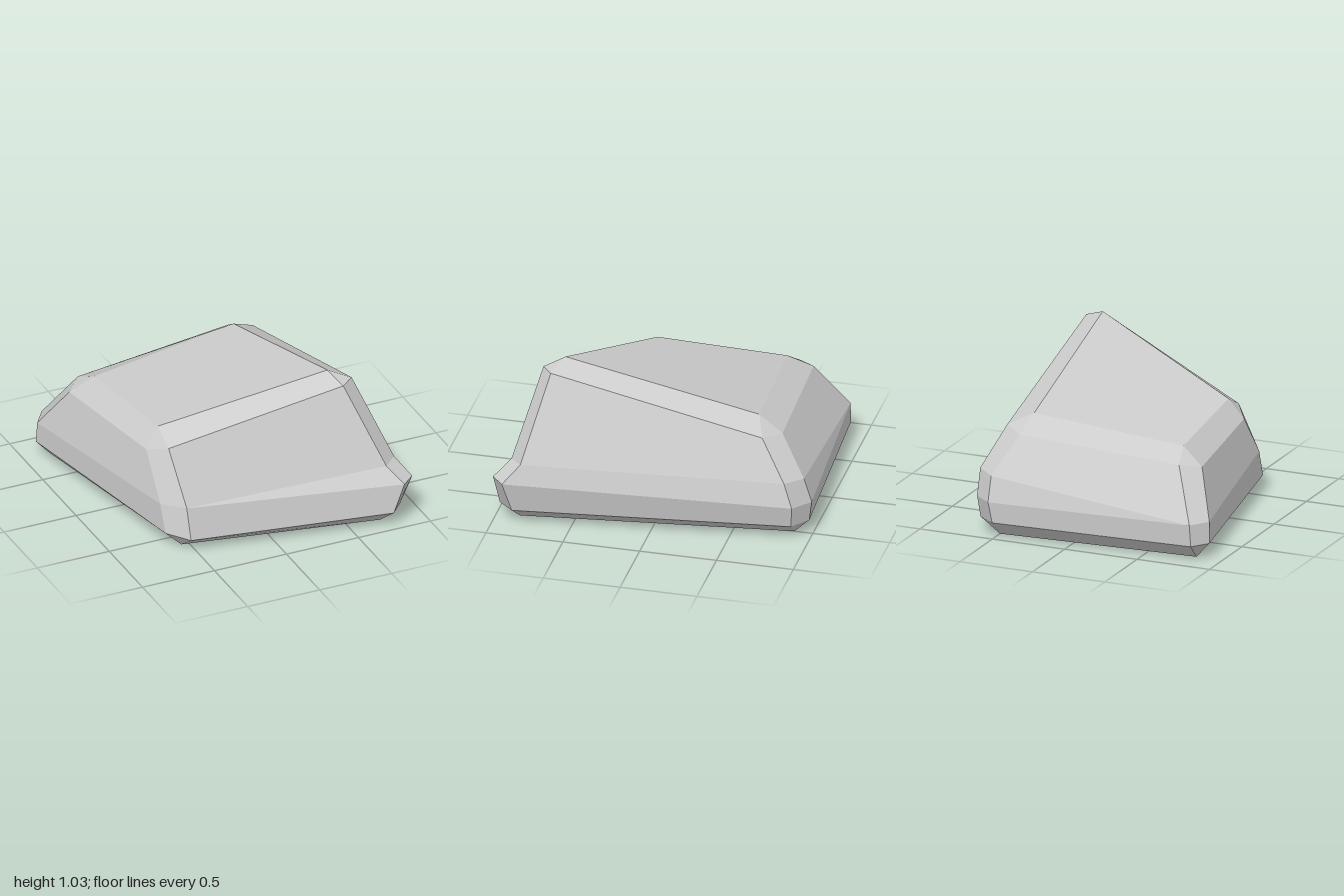
import * as THREE from 'three';

// Each corner of the boulder climbs from one foot point, through pairs
// [front/back point, side point] at four levels, to one tip point.
const frontLeft = {
  foot: [0.72, 0, 0.85],
  pairs: [
    [[0.76, 0.1, 0.97], [0.85, 0.1, 0.87]],
    [[0.82, 0.31, 1.0], [0.91, 0.31, 0.92]],
    [[0.74, 0.41, 0.9], [0.83, 0.42, 0.82]],
    [[0.51, 0.97, 0.75], [0.6, 0.975, 0.68]],
  ],
  tip: [0.46, 1.03, 0.62],
};
const backLeft = {
  foot: [0.5, 0, -0.88],
  pairs: [
    [[0.51, 0.1, -0.98], [0.63, 0.1, -0.89]],
    [[0.53, 0.24, -1.0], [0.65, 0.24, -0.9]],
    [[0.53, 0.4, -0.95], [0.65, 0.41, -0.85]],
    [[0.41, 0.64, -0.78], [0.54, 0.66, -0.68]],
  ],
  tip: [0.38, 0.74, -0.62],
};
// The two right corners have one bend fewer, so a level repeats.
const backRight = {
  foot: [-0.82, 0, -0.8],
  pairs: [
    [[-0.83, 0.1, -0.91], [-0.91, 0.1, -0.8]],
    [[-0.82, 0.24, -0.91], [-0.905, 0.24, -0.79]],
    [[-0.82, 0.24, -0.91], [-0.905, 0.24, -0.79]],
    [[-0.66, 0.56, -0.71], [-0.77, 0.53, -0.6]],
  ],
  tip: [-0.62, 0.635, -0.55],
};
const frontRight = {
  foot: [-0.55, 0, 0.61],
  pairs: [
    [[-0.54, 0.09, 0.735], [-0.655, 0.1, 0.6]],
    [[-0.54, 0.29, 0.67], [-0.66, 0.28, 0.53]],
    [[-0.54, 0.29, 0.67], [-0.66, 0.28, 0.53]],
    [[-0.56, 0.61, 0.44], [-0.655, 0.56, 0.31]],
  ],
  tip: [-0.56, 0.69, 0.28],
};

// Eight points around the rock, counterclockwise from above
function ring(pick) {
  const pairs = [pick(frontLeft), pick(backLeft), pick(backRight), pick(frontRight)];
  return pairs
    .flatMap((p, i) => (i % 2 ? [p[1], p[0]] : p))
    .map((p) => new THREE.Vector3(...p));
}

function boulderGeometry() {
  const positions = [];
  const normals = [];
  const sub = (a, b) => new THREE.Vector3().subVectors(a, b);

  // One flat-shaded facet, split along its outward-bulging diagonal
  function facet(a, b, c, d) {
    const normal = sub(c, a).cross(sub(d, b));
    if (normal.length() < 1e-6) return;
    normal.normalize();
    const bulges = sub(b, a).cross(sub(c, a)).dot(sub(d, a)) > 0;
    const triangles = bulges ? [[a, b, d], [b, c, d]] : [[a, b, c], [a, c, d]];
    for (const t of triangles) {
      if (sub(t[1], t[0]).cross(sub(t[2], t[0])).length() < 1e-6) continue;
      for (const p of t) {
        positions.push(p.x, p.y, p.z);
        normals.push(normal.x, normal.y, normal.z);
      }
    }
  }

  const rings = [
    ring((c) => [c.foot, c.foot]),
    ...[0, 1, 2, 3].map((level) => ring((c) => c.pairs[level])),
    ring((c) => [c.tip, c.tip]),
  ];

  // Sides and bevels
  for (let r = 0; r < rings.length - 1; r++) {
    const low = rings[r];
    const high = rings[r + 1];
    for (let i = 0; i < 8; i++) {
      const j = (i + 1) % 8;
      facet(low[i], low[j], high[j], high[i]);
    }
  }

  // Sloping top and flat underside
  const top = rings[rings.length - 1];
  const base = rings[0];
  facet(top[0], top[2], top[4], top[6]);
  facet(base[6], base[4], base[2], base[0]);

  const geometry = new THREE.BufferGeometry();
  geometry.setAttribute('position', new THREE.Float32BufferAttribute(positions, 3));
  geometry.setAttribute('normal', new THREE.Float32BufferAttribute(normals, 3));
  return geometry;
}

export function createModel() {
  const stone = new THREE.MeshStandardMaterial({ color: 0xcccccc });
  stone.name = 'stone grey';
  const boulder = new THREE.Mesh(boulderGeometry(), stone);
  boulder.name = 'boulder';
  const model = new THREE.Group();
  model.name = 'rock';
  model.add(boulder);
  return model;
}
